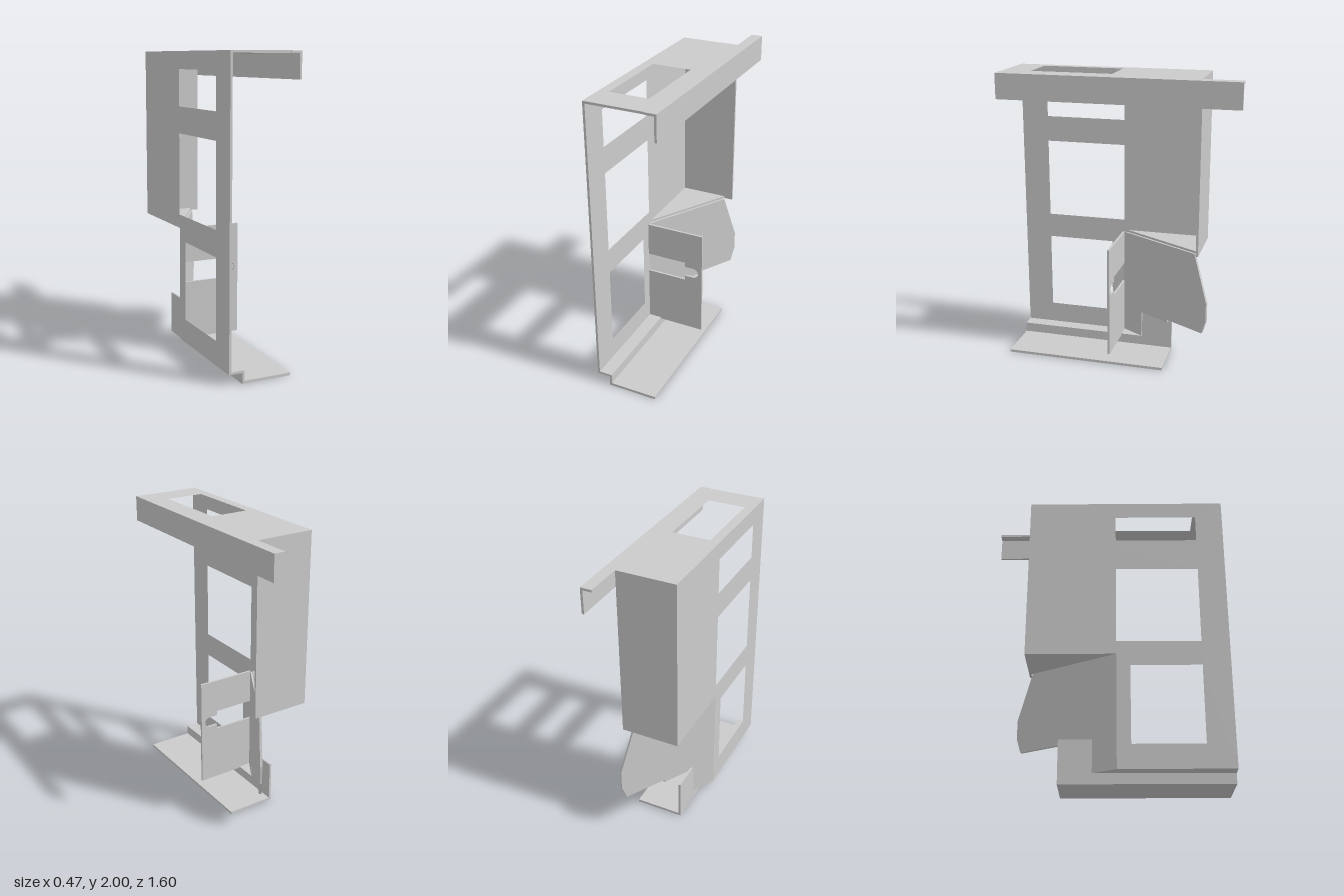
import * as THREE from 'three';

const T = 0.015; // sheet thickness

export function createModel() {
  const group = new THREE.Group();
  const material = new THREE.MeshStandardMaterial({ color: 0xcccccc });

  const outline = (pts) => pts.map(([a, b]) => new THREE.Vector2(a, b));
  const rect = (a0, a1, b0, b1) => [[a0, b0], [a1, b0], [a1, b1], [a0, b1]];
  const extrude = (pts, holes = []) => {
    const shape = new THREE.Shape(outline(pts));
    holes.forEach((h) => shape.holes.push(new THREE.Path(outline(h))));
    return new THREE.ExtrudeGeometry(shape, { depth: T, bevelEnabled: false, curveSegments: 16 });
  };
  const add = (name, geometry, x = 0, y = 0, z = 0) => {
    const mesh = new THREE.Mesh(geometry, material);
    mesh.name = name;
    mesh.position.set(x, y, z);
    group.add(mesh);
  };
  const box = (name, x0, x1, y0, y1, z0, z1) =>
    add(name, new THREE.BoxGeometry(x1 - x0, y1 - y0, z1 - z0),
      (x0 + x1) / 2, (y0 + y1) / 2, (z0 + z1) / 2);
  const flip = (pts, i) => pts.map((p) => p.map((v, k) => (k === i ? -v : v)));
  // upright sheet from (z, y) points, thickness towards +x
  const sideSheet = (name, x, pts, holes = []) =>
    add(name, extrude(flip(pts, 0), holes.map((h) => flip(h, 0))).rotateY(Math.PI / 2), x);
  // level sheet from (x, z) points, thickness towards +y
  const levelSheet = (name, y, pts, holes = []) =>
    add(name, extrude(flip(pts, 1), holes.map((h) => flip(h, 1))).rotateX(-Math.PI / 2), 0, y);

  // Side wall with three windows
  sideSheet('sideWall', -0.235,
    [[0.795, 0.07], [0.795, 2], [-0.54, 2], [-0.54, 0.84], [0.055, 0.84], [0.055, 0.07]],
    [rect(0.055, 0.61, 1.645, 1.885), rect(0.055, 0.61, 0.93, 1.47), rect(0.145, 0.61, 0.23, 0.76)]);

  // Top plate with its window, and the long hooked rail
  levelSheet('topPlate', 2 - T, rect(-0.235, 0.16, -0.54, 0.795), [rect(-0.17, 0.09, 0.055, 0.605)]);
  box('railTop', 0.16, 0.235, 2 - T, 2, -0.8, 0.8);
  box('railLip', 0.22, 0.235, 1.83, 2 - T, -0.8, 0.8);

  // Back wall and the three-cornered floor of the upper box
  box('backWall', -0.235, 0.16, 0.84, 2 - T, -0.54, -0.525);
  levelSheet('boxFloor', 0.84, [[-0.235, 0.055], [-0.235, -0.54], [0.109, -0.54]]);

  // Slanted flap, folded 30 degrees inwards from the side wall
  const flap = [[0.055, 0.84], [-0.515, 0.84], [-0.61, 0.52], [-0.61, 0.39], [-0.58, 0.29],
    [-0.315, 0.29], [-0.315, 0.27], [-0.1, 0.27], [-0.1, 0.07], [0.055, 0.07]];
  const stretch = 1 / Math.cos(Math.PI / 6);
  add('slantedFlap', extrude(flap.map(([z, y]) => [(0.055 - z) * stretch, y])).rotateY(Math.PI / 3),
    -0.235, 0, 0.055);

  // Cross tab with a stepped, round-ended slot open to the side wall
  const tab = new THREE.Shape(outline([[-0.22, 0.075], [0.19, 0.075], [0.19, 0.84],
    [-0.22, 0.84], [-0.22, 0.605], [0.063, 0.605], [0.063, 0.572]]));
  tab.lineTo(0.125, 0.572);
  tab.absarc(0.125, 0.536, 0.036, Math.PI / 2, -Math.PI / 2, true);
  tab.lineTo(0.063, 0.5);
  tab.lineTo(0.063, 0.467);
  tab.lineTo(-0.22, 0.467);
  add('crossTab', new THREE.ExtrudeGeometry(tab, { depth: T, bevelEnabled: false, curveSegments: 16 }),
    0, 0, 0.055);

  // Lower channel: ledge, step wall with a raised end, and foot plate
  levelSheet('ledge', 0.07, [[-0.235, 0.795], [-0.13, 0.795], [-0.13, -0.1], [-0.145, -0.1], [-0.235, 0.055]]);
  sideSheet('stepWall', -0.145,
    [[0.795, 0], [0.795, 0.085], [-0.1, 0.085], [-0.1, 0.29], [-0.315, 0.29], [-0.315, 0]]);
  box('footPlate', -0.145, 0.19, 0, 0.018, -0.315, 0.795);

  return group;
}
